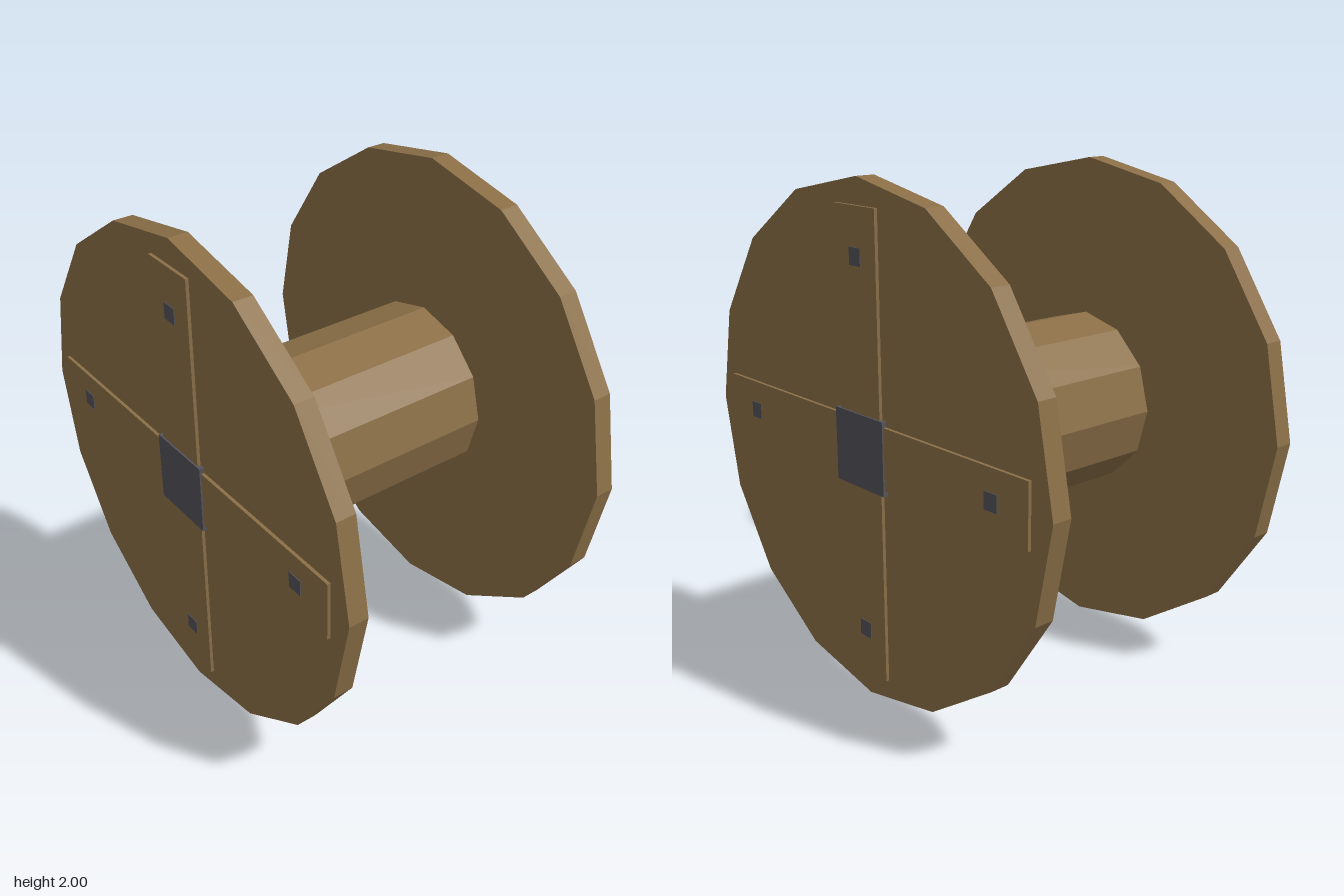
import * as THREE from 'three';

export function createModel() {
  const wood = new THREE.MeshStandardMaterial({ color: 0x8b6f47, flatShading: true });
  wood.name = 'wood';
  const metal = new THREE.MeshStandardMaterial({ color: 0x53535a, flatShading: true });
  metal.name = 'dark metal';

  const model = new THREE.Group();
  model.name = 'cableSpool';

  const add = (parent, name, geometry, material, x, y, z) => {
    const mesh = new THREE.Mesh(geometry, material);
    mesh.name = name;
    mesh.position.set(x, y, z);
    parent.add(mesh);
    return mesh;
  };
  // Cylinder lying along x
  const drum = (radius, length, sides) =>
    new THREE.CylinderGeometry(radius, radius, length, sides).rotateZ(Math.PI / 2);

  // Central core between the flanges
  add(model, 'core', drum(0.36, 1.1, 12), wood, 0, 1, 0);

  for (const side of [1, -1]) {
    const end = new THREE.Group();
    end.name = side > 0 ? 'leftEnd' : 'rightEnd';
    end.position.y = 1;
    model.add(end);

    // Large round flange
    add(end, 'flange', drum(1, 0.08, 16), wood, side * 0.583, 0, 0);

    // Crossed boards on the outer face: one upright, two level halves
    const boardX = side * 0.628;
    add(end, 'uprightBoard', new THREE.BoxGeometry(0.016, 1.8, 0.24), wood, boardX, 0, 0);
    for (const s of [1, -1]) {
      add(end, 'levelBoard', new THREE.BoxGeometry(0.016, 0.24, 0.78), wood, boardX, 0, s * 0.51);
    }

    // Square hub plate and a bolt on each arm
    add(end, 'hubPlate', new THREE.BoxGeometry(0.022, 0.285, 0.285), metal, side * 0.632, 0, 0);
    for (let i = 0; i < 4; i++) {
      const a = i * Math.PI / 2;
      add(end, 'bolt', new THREE.BoxGeometry(0.009, 0.065, 0.065), metal,
        side * 0.6345, Math.sin(a) * 0.72, Math.cos(a) * 0.72);
    }
  }
  return model;
}
